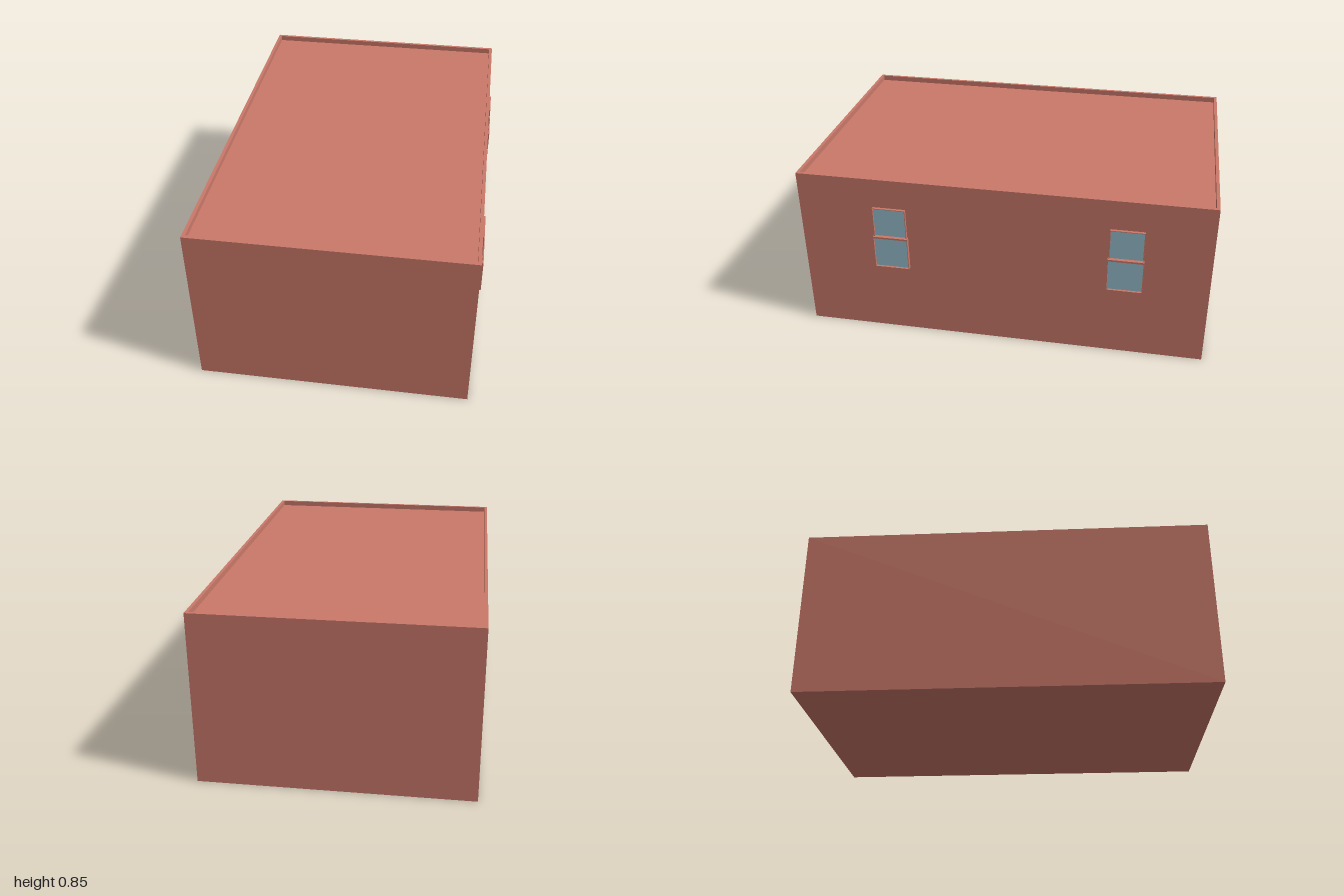
import * as THREE from 'three';

const brick = new THREE.MeshStandardMaterial({ color: 0xc97869 });
const glass = new THREE.MeshStandardMaterial({ color: 0x96bccb });

const X0 = -0.667, X1 = 0.643, HEIGHT = 0.85, ROOF = 0.823, WALL = 0.016;

function rectPath(path, x0, y0, x1, y1) {
  path.moveTo(x0, y0);
  path.lineTo(x1, y0);
  path.lineTo(x1, y1);
  path.lineTo(x0, y1);
  path.closePath();
  return path;
}

// Rectangular ring extruded along +z; border = [side, bottom, top] widths
function ring(w, h, [side, bottom, top], depth) {
  const shape = rectPath(new THREE.Shape(), -w / 2, -h / 2, w / 2, h / 2);
  shape.holes.push(rectPath(new THREE.Path(), -w / 2 + side, -h / 2 + bottom, w / 2 - side, h / 2 - top));
  return new THREE.ExtrudeGeometry(shape, { depth, bevelEnabled: false });
}

function addMesh(parent, name, geometry, material) {
  const mesh = new THREE.Mesh(geometry, material);
  mesh.name = name;
  parent.add(mesh);
  return mesh;
}

// Thin projecting frame with a recessed pane, facing +z
function makeSash(name, w, y0, y1, depth, border, paneDepth) {
  const sash = new THREE.Group();
  sash.name = name;
  const h = y1 - y0;
  addMesh(sash, 'sashFrame', ring(w, h, border, depth), brick);
  const pane = addMesh(sash, 'glassPane', new THREE.BoxGeometry(w - 0.002, h - 0.002, paneDepth), glass);
  pane.position.z = paneDepth / 2;
  sash.position.y = (y0 + y1) / 2;
  return sash;
}

function makeWindow(z) {
  const win = new THREE.Group();
  win.name = 'sashWindow';
  win.add(makeSash('upperSash', 0.163, 0.54, 0.7, 0.014, [0.003, 0.003, 0.003], 0.004));
  win.add(makeSash('lowerSash', 0.172, 0.372, 0.545, 0.022, [0.003, 0.003, 0.009], 0.011));
  win.rotation.y = Math.PI / 2;
  win.position.set(X1, 0, z);
  return win;
}

export function createModel() {
  const model = new THREE.Group();
  model.name = 'building';
  const w = X1 - X0, cx = (X0 + X1) / 2;

  // Outer walls rising into the parapet
  const walls = addMesh(model, 'walls', ring(w, 2, [WALL, WALL, WALL], HEIGHT), brick);
  walls.rotation.x = -Math.PI / 2;
  walls.position.x = cx;

  // Roof deck and floor, set inside the walls
  const core = addMesh(model, 'roofDeck', new THREE.BoxGeometry(w - 2 * WALL, ROOF, 2 - 2 * WALL), brick);
  core.position.set(cx, ROOF / 2, 0);

  // Windows on the +x wall
  for (const z of [0.546, -0.6]) model.add(makeWindow(z));
  return model;
}
